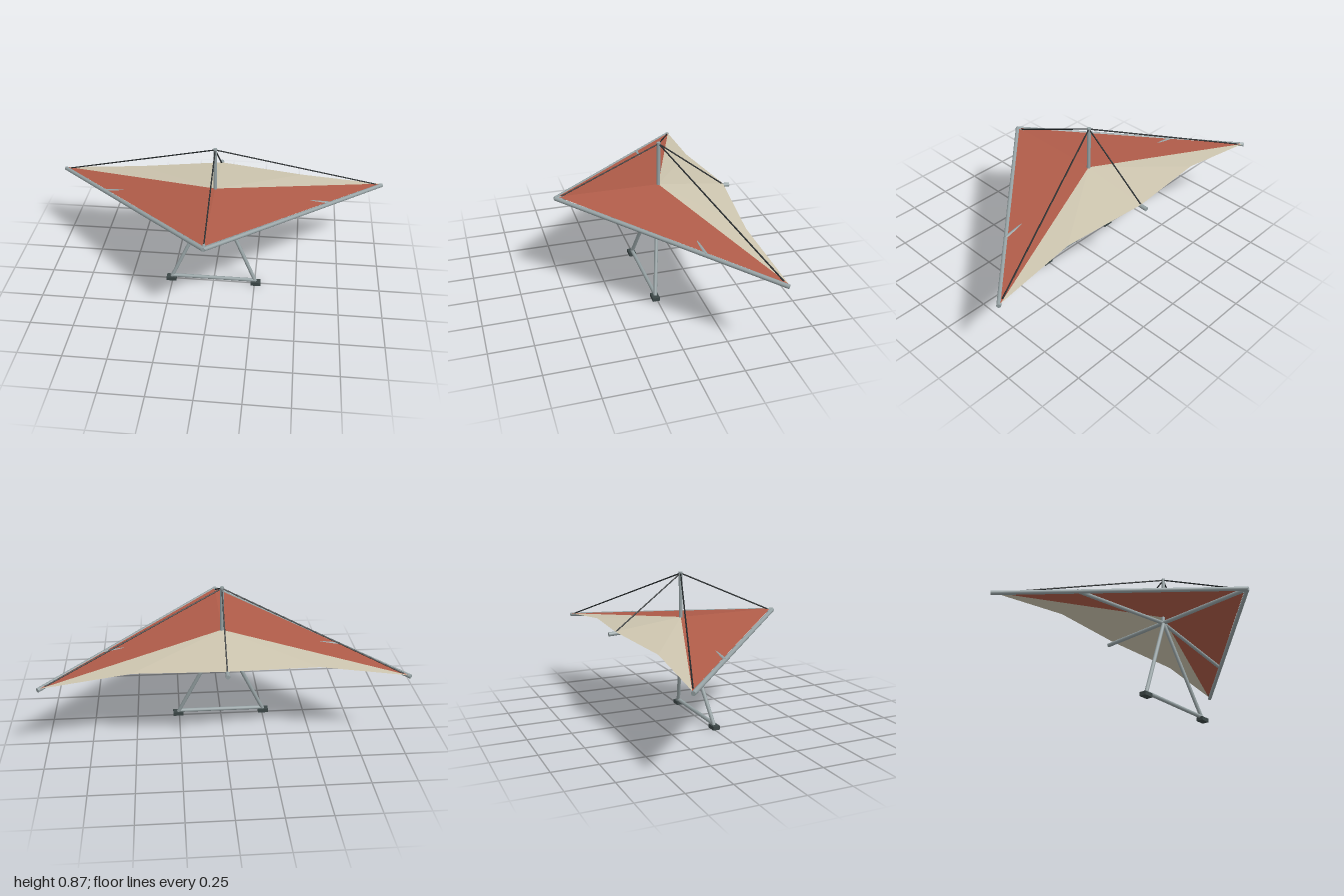
import * as THREE from 'three';

const mat = (name, color, extra = {}) => {
  const m = new THREE.MeshStandardMaterial({ color, ...extra });
  m.name = name;
  return m;
};

export function createModel() {
  const group = new THREE.Group();
  const metal = mat('tube grey', 0x96a2a4);
  const wireMat = mat('wire black', 0x23282a);
  const footMat = mat('foot dark grey', 0x3b4646);
  const red = mat('sail red', 0xb05c49, { side: THREE.DoubleSide });
  const cream = mat('sail cream', 0xcdc5af, { side: THREE.DoubleSide });
  const V = (x, y, z) => new THREE.Vector3(x, y, z);

  // Straight rod between two points
  const rod = (name, a, b, r, material, sides = 12) => {
    const dir = b.clone().sub(a);
    const mesh = new THREE.Mesh(new THREE.CylinderGeometry(r, r, dir.length(), sides), material);
    mesh.position.copy(a).add(b).multiplyScalar(0.5);
    mesh.quaternion.setFromUnitVectors(V(0, 1, 0), dir.normalize());
    mesh.name = name;
    group.add(mesh);
  };

  // Fabric panel: a flat-shaded fan around its first point
  const panel = (name, points, material, flip) => {
    const tris = [];
    for (let i = 1; i < points.length - 1; i++) {
      const pair = flip ? [points[i + 1], points[i]] : [points[i], points[i + 1]];
      tris.push(points[0], ...pair);
    }
    const geo = new THREE.BufferGeometry().setFromPoints(tris);
    geo.computeVertexNormals();
    const mesh = new THREE.Mesh(geo, material);
    mesh.name = name;
    group.add(mesh);
  };

  // Keel and king post
  const hub = V(0, 0.567, -0.085);
  const top = V(0, 0.858, -0.085);
  rod('keel', V(0, 0.599, 0.52), V(0, 0.543, -0.52), 0.012, metal);
  rod('kingPost', hub, V(0, 0.866, -0.085), 0.011, metal);
  rod('noseWire', top, V(0, 0.608, 0.48), 0.004, wireMat, 6);
  rod('tailWire', top, V(0, 0.553, -0.48), 0.004, wireMat, 6);

  // Mirrored wing halves and control frame sides
  const peak = V(0, 0.605, -0.085);
  const sailNose = V(0, 0.608, 0.5);
  const sailTail = V(0, 0.556, -0.483);
  for (const s of [1, -1]) {
    const side = s > 0 ? 'left' : 'right';
    const sailTip = V(s * 0.98, 0.479, -0.455);
    const trailing = V(s * 0.5, 0.532, -0.425);
    panel(side + 'FrontSail', [peak, sailNose, sailTip], red, s < 0);
    panel(side + 'RearSail', [peak, sailTip, trailing, sailTail], cream, s < 0);
    rod(side + 'LeadingEdge', V(0, 0.599, 0.515), V(s * 0.992, 0.47, -0.455), 0.012, metal);
    rod(side + 'CrossBar', hub, V(s * 0.67, 0.515, -0.138), 0.011, metal);
    rod(side + 'TipWire', top, V(s * 0.955, 0.483, -0.44), 0.004, wireMat, 6);
    rod(side + 'Leg', V(0, 0.565, -0.08), V(s * 0.255, 0.02, 0.006), 0.011, metal);

    const foot = new THREE.Mesh(new THREE.BoxGeometry(0.06, 0.022, 0.042), footMat);
    foot.position.set(s * 0.257, 0.011, 0.008);
    foot.name = side + 'Foot';
    group.add(foot);
  }
  rod('baseBar', V(-0.255, 0.027, 0.006), V(0.255, 0.027, 0.006), 0.011, metal);
  return group;
}
